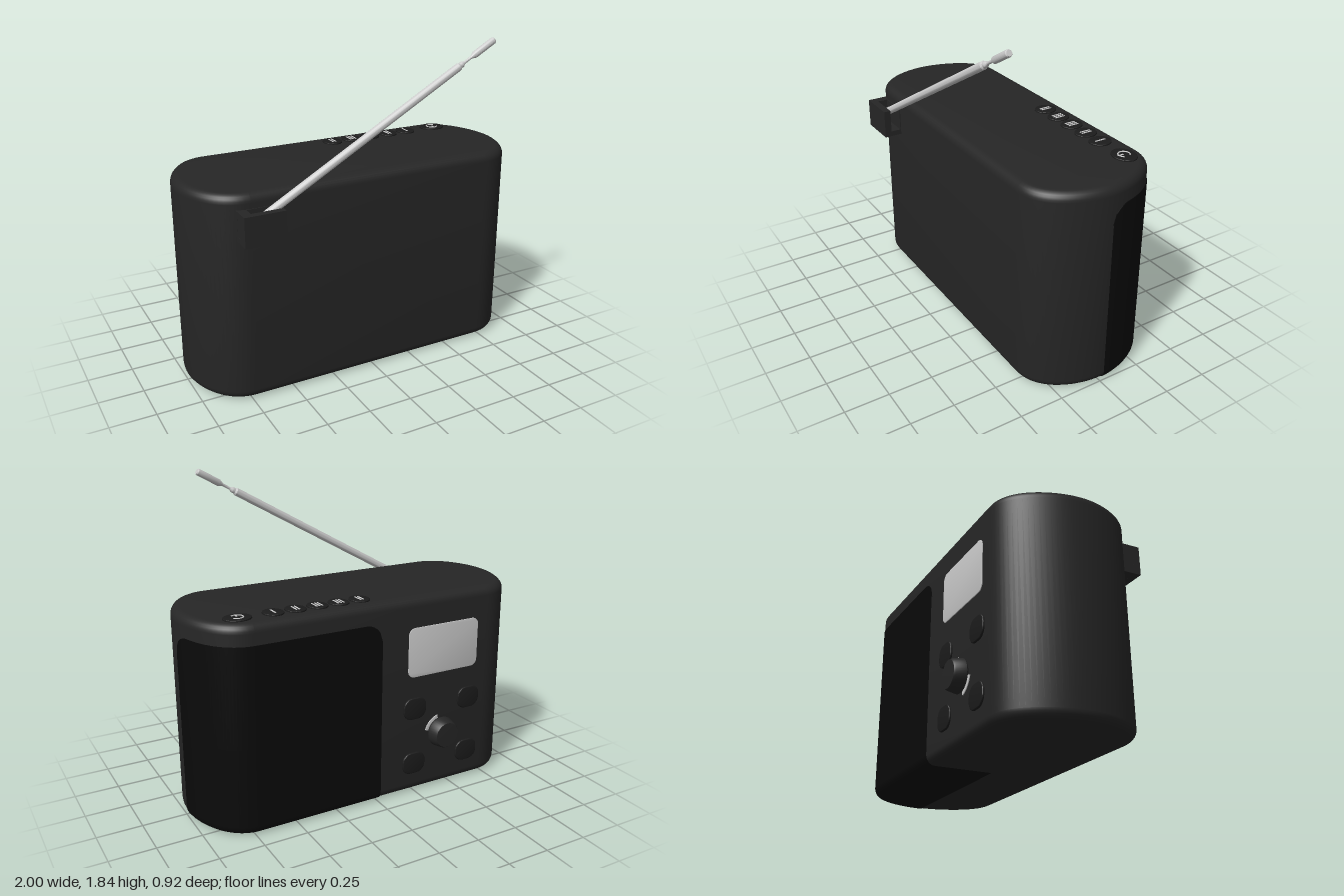
import * as THREE from 'three';
import { toCreasedNormals } from 'three/addons/utils/BufferGeometryUtils.js';

const H = 1.17, BACK = -0.39, FRONT = 0.36, BEVEL = 0.05;
const mat = (color, side = THREE.FrontSide) => new THREE.MeshStandardMaterial({ color, side });

export function createModel() {
  const root = new THREE.Group();
  const shell = mat(0x262626), dark = mat(0x0a0a0a, THREE.DoubleSide), keyMat = mat(0x1c1c1c);
  const grey = mat(0xcccccc);

  const add = (name, geometry, material, x = 0, y = 0, z = 0, parent = root) => {
    const mesh = new THREE.Mesh(geometry, material);
    mesh.name = name;
    mesh.position.set(x, y, z);
    parent.add(mesh);
    return mesh;
  };
  const creased = (g, angle = 0.6) => toCreasedNormals(g, angle);

  // Rounded rectangle centred on the origin
  const roundRect = (w, h, r) => {
    const s = new THREE.Shape(), a = w / 2, b = h / 2;
    s.absarc(a - r, b - r, r, 0, Math.PI / 2);
    s.absarc(-a + r, b - r, r, Math.PI / 2, Math.PI);
    s.absarc(-a + r, -b + r, r, Math.PI, Math.PI * 1.5);
    s.absarc(a - r, -b + r, r, Math.PI * 1.5, Math.PI * 2);
    s.closePath();
    return s;
  };
  // Thin pad with softened edges, raised along +z
  const pad = (shape, height, bevel) => creased(new THREE.ExtrudeGeometry(shape, {
    depth: height - bevel, bevelThickness: bevel, bevelSize: bevel, bevelOffset: -bevel,
    bevelSegments: 3, curveSegments: 8,
  }));

  // Body: plan outline with bowed ends, extruded upward with soft edges
  const plan = new THREE.Shape();
  plan.moveTo(-0.72, BACK);
  plan.lineTo(0.72, BACK);
  plan.bezierCurveTo(0.91, BACK, 1, -0.15, 1, 0);
  plan.bezierCurveTo(1, 0.13, 0.92, FRONT, 0.72, FRONT);
  plan.lineTo(-0.72, FRONT);
  plan.bezierCurveTo(-0.92, FRONT, -1, 0.13, -1, 0);
  plan.bezierCurveTo(-1, -0.15, -0.91, BACK, -0.72, BACK);
  const bodyGeo = new THREE.ExtrudeGeometry(plan, {
    depth: H - 2 * BEVEL, bevelThickness: BEVEL, bevelSize: BEVEL, bevelOffset: -BEVEL,
    bevelSegments: 6, curveSegments: 20,
  });
  bodyGeo.rotateX(Math.PI / 2);
  bodyGeo.translate(0, H - BEVEL, 0);
  add('body', creased(bodyGeo), shell);

  // Speaker grille: a skin over the back, one end and the underside
  const path = new THREE.CurvePath();
  path.add(new THREE.LineCurve(new THREE.Vector2(-0.02, BACK), new THREE.Vector2(0.72, BACK)));
  path.add(new THREE.CubicBezierCurve(new THREE.Vector2(0.72, BACK), new THREE.Vector2(0.91, BACK),
    new THREE.Vector2(1, -0.15), new THREE.Vector2(1, -0.02)));
  const length = path.getLength(), NU = 72, top = 1.055, corner = 0.1, lift = 0.004;
  const pos = [], index = [];
  let rows = 0;
  for (let i = 0; i <= NU; i++) {
    const u = i / NU, p = path.getPointAt(u), t = path.getTangentAt(u);
    const edge = Math.min(u, 1 - u) * length;
    const k = Math.max(0, corner - edge);
    const peak = top - corner + Math.sqrt(corner * corner - k * k);
    const at = (inset, y) => pos.push(p.x + t.y * (lift - inset), y, p.y - t.x * (lift - inset));
    const start = pos.length;
    pos.push(Math.min(p.x, 0.95), -0.003, -0.02);
    for (let j = 0; j <= 6; j++) {
      const a = j / 6 * Math.PI / 2;
      at(BEVEL * (1 - Math.sin(a)), BEVEL - (BEVEL + 0.003) * Math.cos(a));
    }
    at(0, 0.5);
    at(0, peak);
    at(0.012, peak + 0.002);
    rows = (pos.length - start) / 3;
  }
  for (let i = 0; i < NU; i++) {
    for (let j = 0; j < rows - 1; j++) {
      const a = i * rows + j, b = a + rows;
      index.push(a, a + 1, b, b, a + 1, b + 1);
    }
  }
  const grille = new THREE.BufferGeometry();
  grille.setAttribute('position', new THREE.Float32BufferAttribute(pos, 3));
  grille.setIndex(index);
  grille.computeVertexNormals();
  add('speakerGrille', grille, dark);

  // Control panel: its local +z points out of the back
  const panel = new THREE.Group();
  panel.name = 'controlPanel';
  panel.position.set(-0.425, 0, BACK);
  panel.rotation.y = Math.PI;
  root.add(panel);
  add('display', pad(roundRect(0.47, 0.29, 0.04), 0.004, 0.001), grey, 0, 0.855, 0, panel);
  for (const x of [-0.185, 0.185]) {
    for (const y of [0.18, 0.52]) {
      add('panelButton', pad(roundRect(0.15, 0.13, 0.055), 0.01, 0.006), keyMat, x, y, 0, panel);
    }
  }
  const knobProfile = [[0.085, 0], [0.09, 0.008], [0.08, 0.06], [0.073, 0.07], [0, 0.072]]
    .map(([r, y]) => new THREE.Vector2(r, y));
  const knob = creased(new THREE.LatheGeometry(knobProfile, 40), 0.5);
  knob.rotateX(Math.PI / 2);
  add('tuningKnob', knob, shell, 0, 0.34, 0, panel);
  // Two pale arcs beside the knob
  for (const mid of [0.75, 1.75]) {
    const arc = new THREE.Shape(), a = (mid - 0.17) * Math.PI, b = (mid + 0.17) * Math.PI;
    arc.absarc(0, 0, 0.112, a, b, false);
    arc.absarc(0, 0, 0.09, b, a, true);
    add('knobMark', pad(arc, 0.004, 0.001), grey, 0, 0.34, 0, panel);
  }

  // Row of preset keys on the top, each with pale tally bars
  const oval = (w, d) => {
    const s = new THREE.Shape();
    s.absellipse(0, 0, w / 2, d / 2, 0, Math.PI * 2);
    return pad(s, 0.008, 0.004).rotateX(-Math.PI / 2);
  };
  const keyZ = -0.265, markY = H + 0.009;
  const bars = [2, 3, 3, 2, 1];
  bars.forEach((count, i) => {
    const x = 0.055 + i * 0.127;
    add('presetKey', oval(0.115, 0.128), keyMat, x, H, keyZ);
    for (let n = 0; n < count; n++) {
      add('presetMark', new THREE.BoxGeometry(0.008, 0.003, 0.065), grey,
        x + (n - (count - 1) / 2) * 0.017, markY, keyZ);
    }
  });
  add('powerKey', oval(0.155, 0.128), keyMat, 0.76, H, keyZ);
  const ring = new THREE.TorusGeometry(0.032, 0.004, 6, 24, Math.PI * 1.6);
  ring.rotateZ(-Math.PI * 0.3).rotateX(Math.PI / 2);
  add('powerMark', ring, grey, 0.76, H + 0.008, keyZ).rotation.y = -Math.PI / 2;
  add('powerMark', new THREE.BoxGeometry(0.008, 0.003, 0.035), grey, 0.76, markY, keyZ + 0.022);

  // Antenna holder: pocket open at the top and toward the rod
  const holder = new THREE.Group();
  holder.name = 'antennaHolder';
  root.add(holder);
  const block = (name, w, h, d, x, y, z) => add(name, new THREE.BoxGeometry(w, h, d), shell, x, y, z, holder);
  block('holderFace', 0.225, 0.165, 0.04, -0.685, 1.008, 0.443);
  block('holderFloor', 0.225, 0.03, 0.12, -0.685, 0.941, 0.39);
  block('holderEnd', 0.05, 0.165, 0.12, -0.772, 1.008, 0.39);
  block('holderBack', 0.225, 0.165, 0.03, -0.685, 1.008, 0.35);

  // Telescopic antenna: rod, neck and tip turned as one profile
  const rod = [[0, 0], [0.022, 0], [0.022, 1.385], [0.016, 1.395], [0.016, 1.41], [0.008, 1.425],
    [0.008, 1.475], [0.019, 1.5], [0.019, 1.635], [0.015, 1.642], [0, 1.642]]
    .map(([r, y]) => new THREE.Vector2(r, y));
  const antenna = add('antenna', creased(new THREE.LatheGeometry(rod, 24), 0.5), grey, -0.73, 1.015, 0.392);
  antenna.rotation.z = -Math.atan2(0.871, 0.491);

  return root;
}
